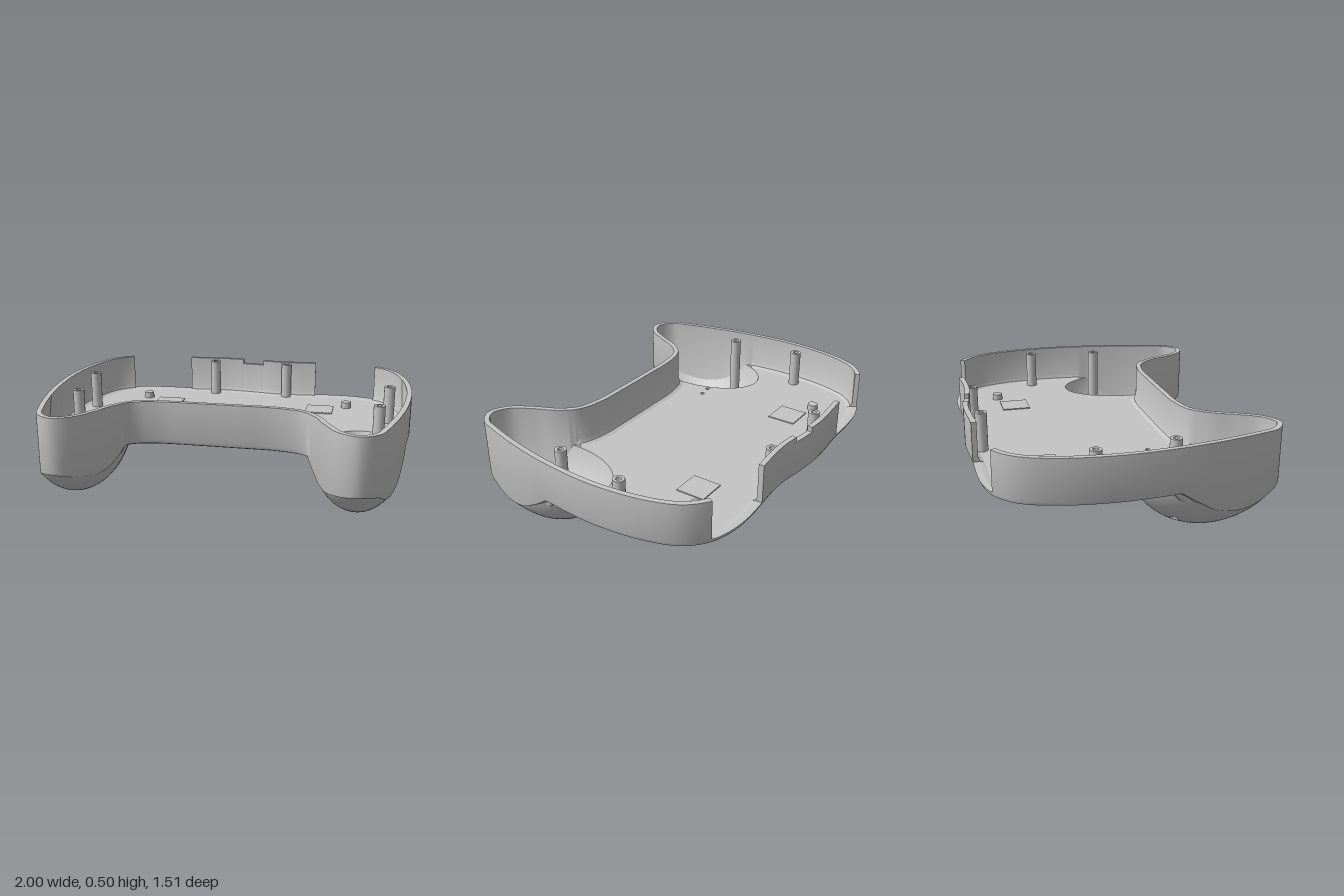
import * as THREE from 'three';
import { toCreasedNormals } from 'three/addons/utils/BufferGeometryUtils.js';

const TOP = 0.497, FLOOR = 0.255, SKIN = 0.025, WALL = 0.028;
const GX = 0.743, GZ = 0.365, CY = 0.395, RX = 0.258, RY = 0.395; // grip ellipsoid
const rz = z => (z < GZ ? 0.415 : 0.445);
const V2 = (x, z) => new THREE.Vector2(x, z);

// Height of the underside: flat floor with an ellipsoid bowl under each grip
function height(x, z) {
  const s = ((Math.abs(x) - GX) / RX) ** 2 + ((z - GZ) / rz(z)) ** 2;
  return s >= 1 ? FLOOR : Math.min(FLOOR, CY - RY * Math.sqrt(1 - s));
}

// Sharp-edged smooth normals, scaled up first so tiny details are kept apart
function crease(source) {
  let g = source;
  if (Array.isArray(source)) {
    g = new THREE.BufferGeometry();
    g.setAttribute('position', new THREE.Float32BufferAttribute(source, 3));
  }
  g.scale(50, 50, 50);
  g = toCreasedNormals(g, 0.6);
  return g.scale(0.02, 0.02, 0.02);
}

// Plan outline, clockwise seen from above
function makeOutline() {
  const back = [[-0.57, -0.74], [-0.41, -0.742], [-0.16, -0.757], [0, -0.745], [0.16, -0.722],
    [0.28, -0.722], [0.41, -0.732], [0.57, -0.74]];
  const side = [[0.7, -0.725], [0.8, -0.688], [0.9, -0.593], [0.968, -0.41], [1, -0.14], [0.985, 0.13],
    [0.95, 0.35], [0.89, 0.59], [0.848, 0.7], [0.755, 0.757], [0.655, 0.712], [0.58, 0.597],
    [0.523, 0.48], [0.45, 0.4], [0.32, 0.365], [0.12, 0.36]];
  const all = [...back, ...side, ...side.map(([x, z]) => [-x, z]).reverse()];
  const curve = new THREE.CatmullRomCurve3(all.map(([x, z]) => new THREE.Vector3(x, 0, z)), true);
  const n = 440, pts = curve.getSpacedPoints(n).slice(0, n);
  return pts.map((p, i) => {
    const a = pts[(i + n - 1) % n], b = pts[(i + 1) % n];
    const l = Math.hypot(b.x - a.x, b.z - a.z), nx = (b.z - a.z) / l, nz = (a.x - b.x) / l;
    const inset = r => V2(p.x - nx * r, p.z - nz * r);
    // the bottom rounding fades out where the wall runs down into a grip
    const q = inset(0.03), h = height(q.x, q.y);
    const r = 0.006 + 0.024 * THREE.MathUtils.clamp((h - 0.14) / (FLOOR - 0.14), 0, 1);
    return { x: p.x, z: p.z, inset, inGrip: h < FLOOR - 1e-4, r, edge: inset(r) };
  });
}

function inside(p, poly) {
  let c = false;
  poly.forEach((a, i) => {
    const b = poly[(i + 1) % poly.length];
    if ((a.y > p.y) !== (b.y > p.y) && p.x < (b.x - a.x) * (p.y - a.y) / (b.y - a.y) + a.x) c = !c;
  });
  return c;
}

// Double-skinned sheet over a plan polygon with holes, draped over height()
function sheet(contour, holes, maxEdge) {
  const pts = [contour, ...holes].flat(), tris = [];
  const split = (a, b, c) => {
    const e = [a.distanceTo(b), b.distanceTo(c), c.distanceTo(a)], m = Math.max(...e);
    if (m <= maxEdge) { tris.push([a, b, c]); return; }
    if (e[1] === m) [a, b, c] = [b, c, a];
    else if (e[0] !== m) [a, b, c] = [c, a, b];
    const h = V2((a.x + b.x) / 2, (a.y + b.y) / 2);
    split(a, h, c);
    split(h, b, c);
  };
  for (const [i, j, k] of THREE.ShapeUtils.triangulateShape(contour, holes)) {
    const a = pts[i], b = pts[j], c = pts[k];
    const up = (b.x - a.x) * (c.y - a.y) - (b.y - a.y) * (c.x - a.x) < 0;
    if (up) split(a, b, c); else split(a, c, b);
  }
  const pos = [], nor = [], n = new THREE.Vector3();
  const put = (p, lift, sign) => {
    const y = height(p.x, p.y);
    pos.push(p.x, y + lift, p.y);
    if (maxEdge === Infinity) n.set(0, sign, 0);
    else n.set((p.x - Math.sign(p.x) * GX) / RX ** 2, (y - CY) / RY ** 2, (p.y - GZ) / rz(p.y) ** 2)
      .normalize().multiplyScalar(-sign);
    nor.push(n.x, n.y, n.z);
  };
  for (const [a, b, c] of tris) {
    [a, b, c].forEach(p => put(p, SKIN, 1));
    [a, c, b].forEach(p => put(p, 0, -1));
  }
  const g = new THREE.BufferGeometry();
  g.setAttribute('position', new THREE.Float32BufferAttribute(pos, 3));
  g.setAttribute('normal', new THREE.Float32BufferAttribute(nor, 3));
  return g;
}

// Inner sides of the cut-outs
function holeRims(holes) {
  const pos = [];
  for (const h of holes) h.forEach((a, i) => {
    const b = h[(i + 1) % h.length], ya = height(a.x, a.y), yb = height(b.x, b.y);
    const A = [a.x, ya, a.y], B = [b.x, yb, b.y], C = [b.x, yb + SKIN, b.y], D = [a.x, ya + SKIN, a.y];
    pos.push(...A, ...B, ...C, ...A, ...C, ...D);
  });
  return crease(pos);
}

// Wall cross-section swept along a run of outline points, capped at both ends
function wall(run, top) {
  const rows = run.map(o => {
    const r = o.r, b = height(o.edge.x, o.edge.y), q = o.inset(WALL + r), c = height(q.x, q.y) + SKIN;
    return [[r, b], [0.3 * r, b + 0.3 * r], [0, b + r], [0, top], [WALL, top], [WALL, c + r],
      [WALL + 0.3 * r, c + 0.3 * r], [WALL + r, c]].map(([d, y]) => {
      const p = o.inset(d);
      return [p.x, Math.min(y, top), p.y];
    });
  });
  const pos = [], quad = (a, b, c, d) => pos.push(...a, ...b, ...c, ...a, ...c, ...d);
  for (let i = 0; i + 1 < rows.length; i++)
    for (let k = 0; k < 7; k++) quad(rows[i][k], rows[i][k + 1], rows[i + 1][k + 1], rows[i + 1][k]);
  const s = rows[0], e = rows[rows.length - 1];
  for (let k = 0; k < 3; k++) {
    quad(s[k], s[7 - k], s[6 - k], s[k + 1]);
    quad(e[k], e[k + 1], e[6 - k], e[7 - k]);
  }
  return crease(pos);
}

const circle = (x, z, r) => Array.from({ length: 20 }, (_, i) =>
  V2(x + r * Math.cos(i * Math.PI / 10), z + r * Math.sin(i * Math.PI / 10)));

// Hollow screw post whose foot follows the shell below it
function post(x, z) {
  const g = new THREE.LatheGeometry([V2(0.015, 1), V2(0.015, 0), V2(0.031, 0), V2(0.031, 1), V2(0.015, 1)], 20);
  g.translate(x, 0, z);
  const p = g.attributes.position;
  for (let i = 0; i < p.count; i++)
    p.setY(i, p.getY(i) > 0.5 ? 0.49 : height(p.getX(i), p.getZ(i)) + 0.015);
  return crease(g);
}

export function createModel() {
  const group = new THREE.Group();
  const grey = new THREE.MeshStandardMaterial({ color: 0xc5c5c5, side: THREE.DoubleSide });
  grey.name = 'shellGrey';
  const add = (name, geo) => {
    const m = new THREE.Mesh(geo, grey);
    m.name = name;
    group.add(m);
    return m;
  };
  const outline = makeOutline(), n = outline.length, edge = outline.map(o => o.edge);

  // Cut-outs and screw holes
  const posts = [[0.23, -0.675], [0.88, -0.225], [0.832, 0.18]];
  const floorHoles = [circle(-0.502, 0.18, 0.012), circle(-0.43, 0.17, 0.012)], gripHoles = { 1: [], '-1': [] };
  for (const s of [1, -1]) {
    floorHoles.push(circle(s * 0.23, -0.675, 0.016), circle(s * 0.88, -0.225, 0.022));
    const fan = [V2(s * 0.74, 0.3)];
    for (let i = 0; i <= 8; i++) {
      const t = i * Math.PI / 16;
      fan.push(V2(s * (0.74 - 0.09 * Math.cos(t)), 0.3 - 0.09 * Math.sin(t)));
    }
    gripHoles[s].push(fan, circle(s * 0.832, 0.18, 0.022), circle(s * 0.672, 0.18, 0.028), circle(s * 0.718, 0.435, 0.028));
  }

  // Floor and grip bowls share the elliptical seam
  const k = Math.sqrt(1 - ((CY - FLOOR) / RY) ** 2), floor = [];
  for (let i = 0; i < n; i++) {
    if (!outline[i].inGrip) { floor.push(edge[i]); continue; }
    const s = Math.sign(edge[i].x), arc = [], run = [edge[i - 1]];
    for (let j = 0; j <= 120; j++) {
      const t = -1.2 + (Math.PI + 2.4) * j / 120, b = Math.sin(t) > 0 ? 0.415 : 0.445;
      const p = V2(s * (GX + RX * k * Math.cos(t)), GZ - b * k * Math.sin(t));
      if (inside(p, edge)) arc.push(p);
    }
    if (s < 0) arc.reverse();
    while (outline[i].inGrip) run.push(edge[i++]);
    run.push(edge[i]);
    floor.push(...arc, edge[i]);
    add(s > 0 ? 'leftGripBowl' : 'rightGripBowl', sheet([...run, ...arc.slice().reverse()], gripHoles[s], 0.03));
  }
  add('floor', sheet(floor, floorHoles, Infinity));
  add('holeRims', holeRims([...floorHoles, ...gripHoles[1], ...gripHoles[-1]]));

  // Perimeter wall, with two rear gaps and a notched rear panel
  const topAt = ({ x, z }) => {
    const a = Math.abs(x);
    if (z > -0.3 || a > 0.795) return TOP;
    return a < 0.07 ? 0.47 : a < 0.41 ? TOP : 0.286;
  };
  const tops = outline.map(topAt), first = tops.findIndex((t, i) => t !== tops[(i + n - 1) % n]);
  for (let i = 0; i < n;) {
    const top = tops[(first + i) % n], run = [];
    while (i < n && tops[(first + i) % n] === top) run.push(outline[(first + i++) % n]);
    run.push(outline[(first + i) % n]);
    add(top < 0.3 ? 'rearGapLip' : run.length > 60 ? 'mainWall' : 'rearPanel', wall(run, top));
  }

  // Screw posts, locating pins and flat pads
  for (const s of [1, -1]) {
    for (const [x, z] of posts) add('screwPost', post(s * x, z));
    add('locatingPin', new THREE.CylinderGeometry(0.029, 0.029, 0.04, 20)).position.set(s * 0.625, 0.295, -0.485);
    add('pad', new THREE.BoxGeometry(0.16, 0.008, 0.16)).position.set(s * 0.47, 0.282, -0.4);
  }
  return group;
}
